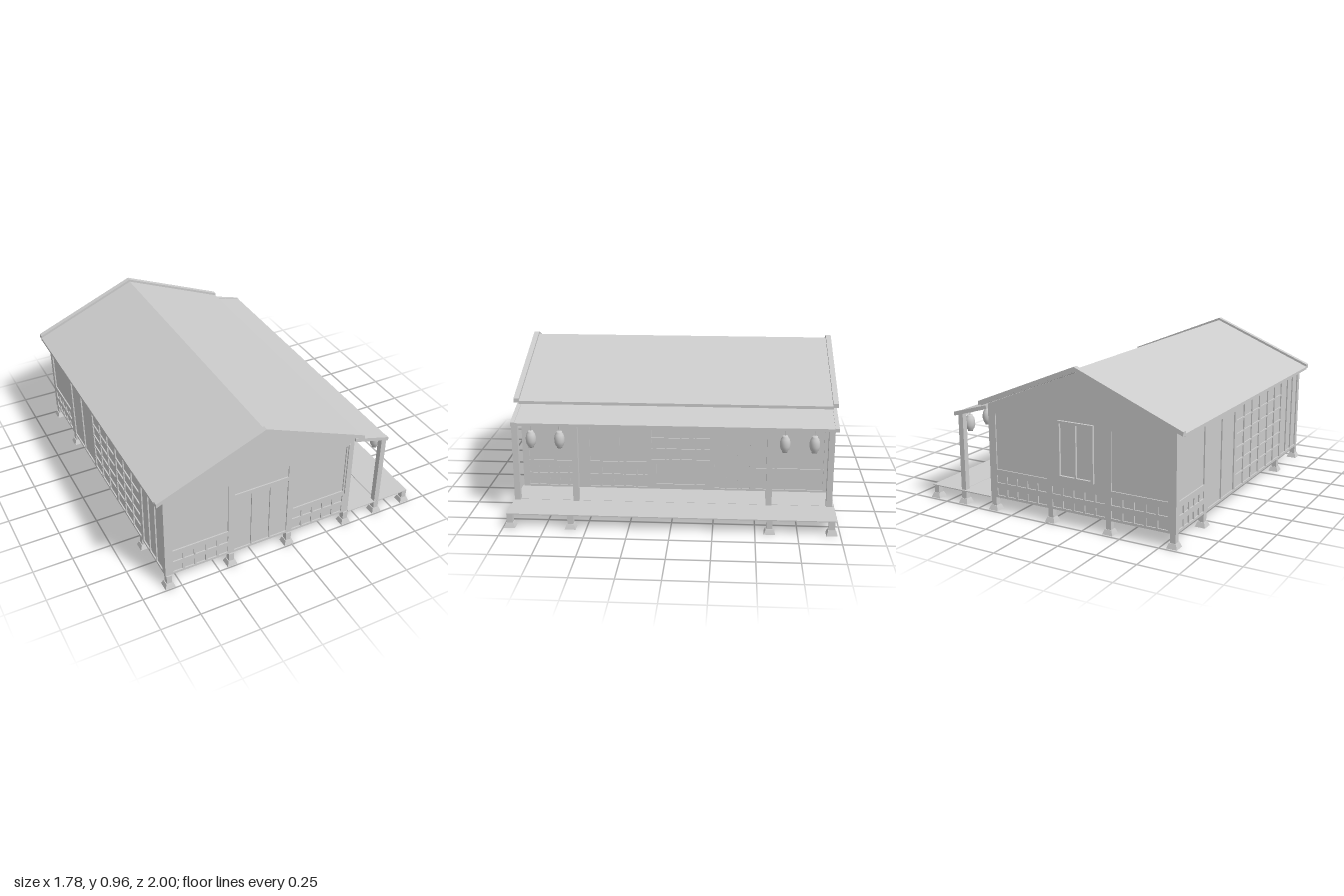
import * as THREE from 'three';

const mat = new THREE.MeshStandardMaterial({ color: 0xcccccc, side: THREE.DoubleSide });
const RIDGE_X = -0.21, SLOPE = 0.41;

function add(parent, geo, name, x = 0, y = 0, z = 0) {
  const m = new THREE.Mesh(geo, mat);
  m.name = name;
  m.position.set(x, y, z);
  parent.add(m);
  return m;
}

// box given by its minimum and maximum corners
function block(parent, name, x0, x1, y0, y1, z0, z1) {
  return add(parent, new THREE.BoxGeometry(x1 - x0, y1 - y0, z1 - z0), name,
    (x0 + x1) / 2, (y0 + y1) / 2, (z0 + z1) / 2);
}

// closed outline in x-y, extruded along z from z0 to z1
function slab(parent, name, pts, z0, z1) {
  const shape = new THREE.Shape(pts.map(p => new THREE.Vector2(...p)));
  const geo = new THREE.ExtrudeGeometry(shape, { depth: z1 - z0, bevelEnabled: false });
  return add(parent, geo, name, 0, 0, z0);
}

// splits a rectangle into cols x rows openings separated by bars
function grid(u0, u1, v0, v1, cols = 1, rows = 1, gap = 0.01) {
  const out = [], w = (u1 - u0 + gap) / cols, h = (v1 - v0 + gap) / rows;
  for (let i = 0; i < cols; i++)
    for (let j = 0; j < rows; j++)
      out.push([u0 + i * w, u0 + (i + 1) * w - gap, v0 + j * h, v0 + (j + 1) * h - gap]);
  return out;
}

// two rows of small openings near the floor
const lattice = (u0, u1) => [
  ...grid(u0, u1, 0.1, 0.147, 5, 1, 0.012),
  ...grid(u0, u1, 0.18, 0.227, 5, 1, 0.012)];

// framed wall facing local +z, each opening closed by a recessed panel
function wall(parent, name, outline, openings) {
  const g = new THREE.Group();
  g.name = name;
  const shape = new THREE.Shape(outline.map(p => new THREE.Vector2(...p)));
  for (const [a, b, c, d] of openings) {
    const hole = new THREE.Path();
    hole.moveTo(a, c); hole.lineTo(a, d); hole.lineTo(b, d); hole.lineTo(b, c); hole.closePath();
    shape.holes.push(hole);
    block(g, name + 'Panel', a, b, c, d, -0.018, -0.008);
  }
  const geo = new THREE.ExtrudeGeometry(shape, { depth: 0.026, bevelEnabled: false });
  add(g, geo, name + 'Frame', 0, 0, -0.026);
  parent.add(g);
  return g;
}

function walls(house) {
  const gable = s => [[-0.84 * s, 0.085], [0.42 * s, 0.085], [0.42 * s, 0.668],
    [RIDGE_X * s, 0.926], [-0.84 * s, 0.668]];
  const side = [[-0.965, 0.085], [0.965, 0.085], [0.965, 0.668], [-0.965, 0.668]];

  const front = wall(house, 'frontWall', gable(1), [
    ...grid(-0.79, -0.43, 0.265, 0.615), ...lattice(-0.79, -0.43),
    ...grid(0.01, 0.37, 0.265, 0.615), ...lattice(0.01, 0.37),
    ...grid(-0.39, -0.03, 0.53, 0.615), ...grid(-0.39, -0.03, 0.1, 0.5, 3)]);
  front.position.z = 0.97;
  block(front, 'cornerBatten', 0.38, 0.39, 0.24, 0.63, 0, 0.008);

  const back = wall(house, 'backWall', gable(-1), [
    ...grid(-0.37, -0.01, 0.265, 0.615), ...lattice(-0.37, -0.01),
    ...lattice(0.03, 0.39),
    ...grid(0.43, 0.79, 0.265, 0.615), ...lattice(0.43, 0.79)]);
  back.position.z = -0.97;
  back.rotation.y = Math.PI;

  // projecting window on the back: border with two sashes
  for (const [a, b, c, d] of [[0.08, 0.095, 0.29, 0.635], [0.305, 0.32, 0.29, 0.635],
    [0.095, 0.305, 0.29, 0.305], [0.095, 0.305, 0.62, 0.635], [0.195, 0.205, 0.305, 0.62]])
    block(back, 'backWindowFrame', a, b, c, d, 0, 0.015);

  // porch side, u runs towards the back
  const right = wall(house, 'porchWall', side, [
    ...grid(-0.93, -0.62, 0.265, 0.6), ...lattice(-0.93, -0.62),
    ...grid(-0.54, -0.175, 0.265, 0.55, 2), ...lattice(-0.54, -0.175),
    ...grid(-0.15, 0.22, 0.285, 0.56, 4, 4), ...grid(-0.12, 0.19, 0.12, 0.255),
    ...grid(0.25, 0.47, 0.1, 0.6, 3),
    ...grid(0.51, 0.93, 0.1, 0.23), ...grid(0.51, 0.93, 0.24, 0.6)]);
  right.position.x = 0.42;
  right.rotation.y = Math.PI / 2;

  // far side, u runs towards the front
  const left = wall(house, 'screenWall', side, [
    ...grid(-0.93, -0.61, 0.265, 0.615), ...lattice(-0.93, -0.61),
    ...grid(-0.55, -0.18, 0.1, 0.6, 2),
    ...grid(-0.15, 0.22, 0.1, 0.615, 3, 6), ...grid(0.245, 0.615, 0.1, 0.615, 3, 6),
    ...grid(0.65, 0.93, 0.1, 0.615, 3)]);
  left.position.x = -0.84;
  left.rotation.y = -Math.PI / 2;
}

function roofs(house) {
  // ridge roof with raised boards along both gable ends
  const pitch = (top, t) => {
    const drop = 0.68 * SLOPE;
    return [[-0.89, top - drop], [RIDGE_X, top], [0.47, top - drop],
      [0.47, top - drop - t], [RIDGE_X, top - t], [-0.89, top - drop - t]];
  };
  slab(house, 'mainRoof', pitch(0.947, 0.018), -0.97, 0.97);
  // lean-to roof over the porch
  const lean = (top, t) => [[0.42, top], [0.665, top - 0.072], [0.665, top - 0.072 - t], [0.42, top - t]];
  slab(house, 'porchRoof', lean(0.658, 0.016), -0.965, 0.955);
  for (const s of [-1, 1]) {
    slab(house, 'gableBoard', pitch(0.963, 0.026), s > 0 ? 0.967 : -1, s > 0 ? 1 : -0.967);
    slab(house, 'porchGableBoard', lean(0.662, 0.024), s > 0 ? 0.955 : -0.99, s > 0 ? 0.98 : -0.965);
  }
  block(house, 'porchBeam', 0.62, 0.65, 0.565, 0.585, -0.965, 0.965);
}

function foundation(house) {
  const foot = new THREE.CylinderGeometry(0.031, 0.047, 0.03, 4).toNonIndexed();
  foot.rotateY(Math.PI / 4);
  foot.computeVertexNormals();
  for (const x of [-0.82, -0.41, -0.015, 0.4, 0.635, 0.855])
    for (const z of [-0.95, -0.585, 0.595, 0.96]) {
      const porch = x === 0.635, top = porch ? 0.59 : 0.085;
      add(house, foot, 'footing', x, 0.015, z);
      block(house, porch ? 'porchPost' : 'floorPost', x - 0.017, x + 0.017, 0.03, top, z - 0.018, z + 0.018);
    }
  // open veranda boards
  block(house, 'deckInner', 0.42, 0.637, 0.081, 0.087, -0.98, 0.98);
  block(house, 'deckOuter', 0.64, 0.872, 0.081, 0.087, -0.98, 0.98);
}

function lanterns(house) {
  const profile = [[0, -0.052], [0.016, -0.052], [0.017, -0.045], [0.026, -0.032], [0.031, -0.012],
    [0.031, 0.012], [0.026, 0.032], [0.017, 0.045], [0.016, 0.052], [0, 0.052]]
    .map(p => new THREE.Vector2(...p));
  const body = new THREE.LatheGeometry(profile, 20);
  const cord = new THREE.CylinderGeometry(0.002, 0.002, 0.05, 6);
  for (const z of [0.857, 0.683, -0.672, -0.847]) {
    add(house, body, 'lantern', 0.662, 0.488, z);
    add(house, cord, 'lanternCord', 0.66, 0.56, z);
  }
}

export function createModel() {
  const house = new THREE.Group();
  house.name = 'verandaHouse';
  walls(house);
  roofs(house);
  foundation(house);
  lanterns(house);
  return house;
}
